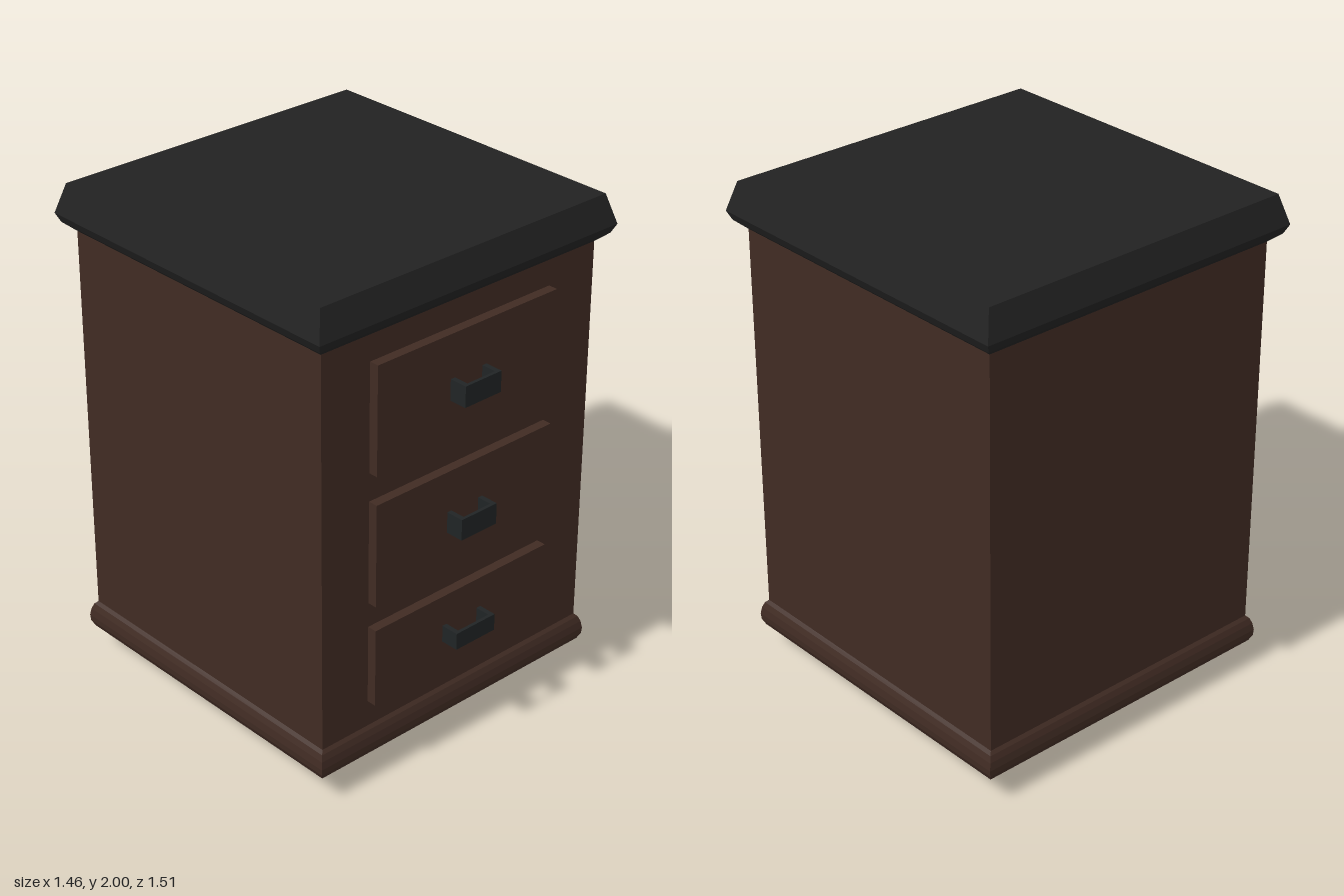
import * as THREE from 'three';

const wood = new THREE.MeshStandardMaterial({ color: 0x402b23 });
wood.name = 'brown wood';
const black = new THREE.MeshStandardMaterial({ color: 0x222222 });
black.name = 'black top';
const iron = new THREE.MeshStandardMaterial({ color: 0x202425 });
iron.name = 'dark iron';

// Gives every face its own normal
function flat(geometry) {
  const g = geometry.toNonIndexed();
  g.computeVertexNormals();
  return g;
}

function add(parent, name, geometry, material, x = 0, y = 0, z = 0) {
  const mesh = new THREE.Mesh(geometry, material);
  mesh.name = name;
  mesh.position.set(x, y, z);
  parent.add(mesh);
  return mesh;
}

// Closed square moulding from [half width, height] pairs, bottom to top
function squareMoulding(profile) {
  const pts = profile.map(([h, y]) => new THREE.Vector2(h * Math.SQRT2, y));
  pts.unshift(new THREE.Vector2(0, profile[0][1]));
  pts.push(new THREE.Vector2(0, profile[profile.length - 1][1]));
  return flat(new THREE.LatheGeometry(pts, 4, Math.PI / 4));
}

export function createModel() {
  const model = new THREE.Group();
  model.name = 'bedsideCabinet';
  const cabinet = new THREE.Group();
  cabinet.name = 'cabinet';
  cabinet.position.z = -0.018;
  cabinet.rotation.y = 0.021; // stands slightly turned
  model.add(cabinet);

  // Carcass
  add(cabinet, 'body', new THREE.BoxGeometry(1.32, 1.68, 1.32), wood, 0, 0.99, 0);

  // Rounded plinth
  add(cabinet, 'plinth', squareMoulding([
    [0.633, 0.067], [0.672, 0.1], [0.684, 0.125], [0.686, 0.15],
    [0.681, 0.18], [0.672, 0.203], [0.66, 0.215],
  ]), wood);

  // Bevelled top
  add(cabinet, 'top', squareMoulding([
    [0.662, 1.815], [0.7, 1.848], [0.716, 1.883], [0.682, 2],
  ]), black);

  // Drawers: [bottom, top, handle bottom, handle top, handle width]
  const drawers = [
    [1.279, 1.711, 1.452, 1.536, 0.175],
    [0.747, 1.165, 0.914, 0.999, 0.175],
    [0.323, 0.646, 0.45, 0.519, 0.196],
  ];
  for (const [y0, y1, h0, h1, w] of drawers) {
    add(cabinet, 'drawerFront', new THREE.BoxGeometry(0.87, y1 - y0, 0.06), wood,
      -0.004, (y0 + y1) / 2, 0.669);

    // Bracket handle, open at top and bottom
    const handle = new THREE.Group();
    handle.name = 'handle';
    handle.position.set(-0.005, (h0 + h1) / 2, 0);
    cabinet.add(handle);
    const height = h1 - h0;
    add(handle, 'handleBar', new THREE.BoxGeometry(w, height, 0.013), iron, 0, 0, 0.7665);
    for (const side of [-1, 1]) {
      add(handle, 'handleArm', new THREE.BoxGeometry(0.02, height, 0.07), iron,
        side * (w / 2 - 0.01), 0, 0.728);
    }
  }

  // Tapered six-sided feet
  const footGeometry = flat(new THREE.CylinderGeometry(0.064, 0.043, 0.07, 6).rotateY(Math.PI / 6));
  for (const x of [-1, 1]) {
    for (const z of [-1, 1]) {
      add(cabinet, 'foot', footGeometry, iron, x * 0.463, 0.035, z * 0.463);
    }
  }
  return model;
}
